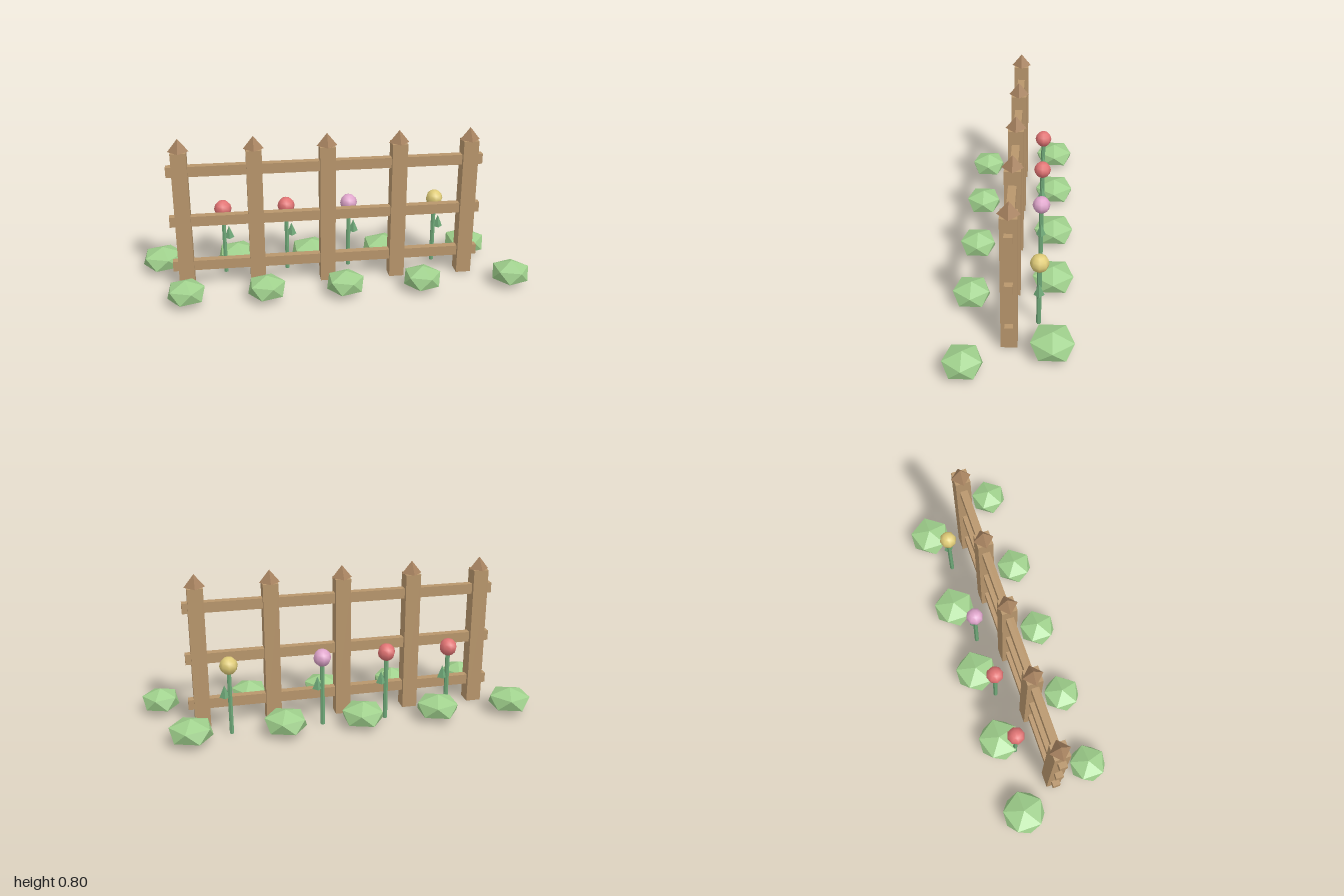
import * as THREE from 'three';

const mat = (color, flatShading = true) => new THREE.MeshStandardMaterial({ color, flatShading });

export function createModel() {
  const model = new THREE.Group();
  const wood = mat(0xb8966c);
  const capWood = mat(0xa88360);
  const leafGreen = mat(0x9fd08c);
  const stemGreen = mat(0x6fa878);

  const add = (parent, name, geometry, material, x, y, z) => {
    const mesh = new THREE.Mesh(geometry, material);
    mesh.name = name;
    mesh.position.set(x, y, z);
    parent.add(mesh);
    return mesh;
  };
  const group = (name) => {
    const g = new THREE.Group();
    g.name = name;
    model.add(g);
    return g;
  };

  // Fence: five square posts with pointed caps, three rails through them
  const fence = group('fence');
  const fenceX = -0.03, fenceZ = 0.006;
  const postGeo = new THREE.BoxGeometry(0.078, 0.735, 0.078);
  const capGeo = new THREE.ConeGeometry(0.052, 0.065, 4);
  for (let i = -2; i <= 2; i++) {
    const x = fenceX + i * 0.366;
    add(fence, 'post', postGeo, wood, x, 0.3675, fenceZ);
    add(fence, 'postCap', capGeo, capWood, x, 0.7675, fenceZ);
  }
  const railGeo = new THREE.BoxGeometry(1.6, 0.053, 0.039);
  for (const y of [0.121, 0.3675, 0.634]) add(fence, 'rail', railGeo, wood, fenceX, y, fenceZ);

  // Flowers behind the fence: stem, one pointed leaf, round bloom
  const stemGeo = new THREE.CylinderGeometry(0.0117, 0.0117, 0.34, 6);
  const leafGeo = new THREE.ConeGeometry(0.026, 0.065, 4);
  const bloomGeo = new THREE.SphereGeometry(0.0455, 8, 6);
  const flowers = [[-0.563, 0xe27474], [-0.232, 0xe27474], [0.101, 0xe0a6cc], [0.568, 0xe0cc78]];
  for (const [x, color] of flowers) {
    const flower = group('flower');
    flower.position.set(x, 0, -0.128);
    add(flower, 'stem', stemGeo, stemGreen, 0, 0.17, 0);
    add(flower, 'leaf', leafGeo, stemGreen, 0.026, 0.233, 0);
    add(flower, 'bloom', bloomGeo, mat(color, false), 0, 0.367, 0);
  }

  // Bushes: flattened icosahedra standing on a corner, larger ones at the back
  const bushRow = (name, xs, z, radius) => {
    const row = group(name);
    const geo = new THREE.IcosahedronGeometry(1, 0);
    geo.rotateZ(-Math.atan(2 / (1 + Math.sqrt(5))));
    geo.scale(radius, 0.066, radius);
    for (const x of xs) add(row, 'bush', geo, leafGreen, x, 0.067, z);
  };
  bushRow('frontBushes', [-0.762, -0.362, 0.037, 0.436, 0.905], 0.206, 0.105);
  bushRow('backBushes', [-0.895, -0.495, -0.095, 0.303, 0.77], -0.194, 0.12);

  return model;
}
